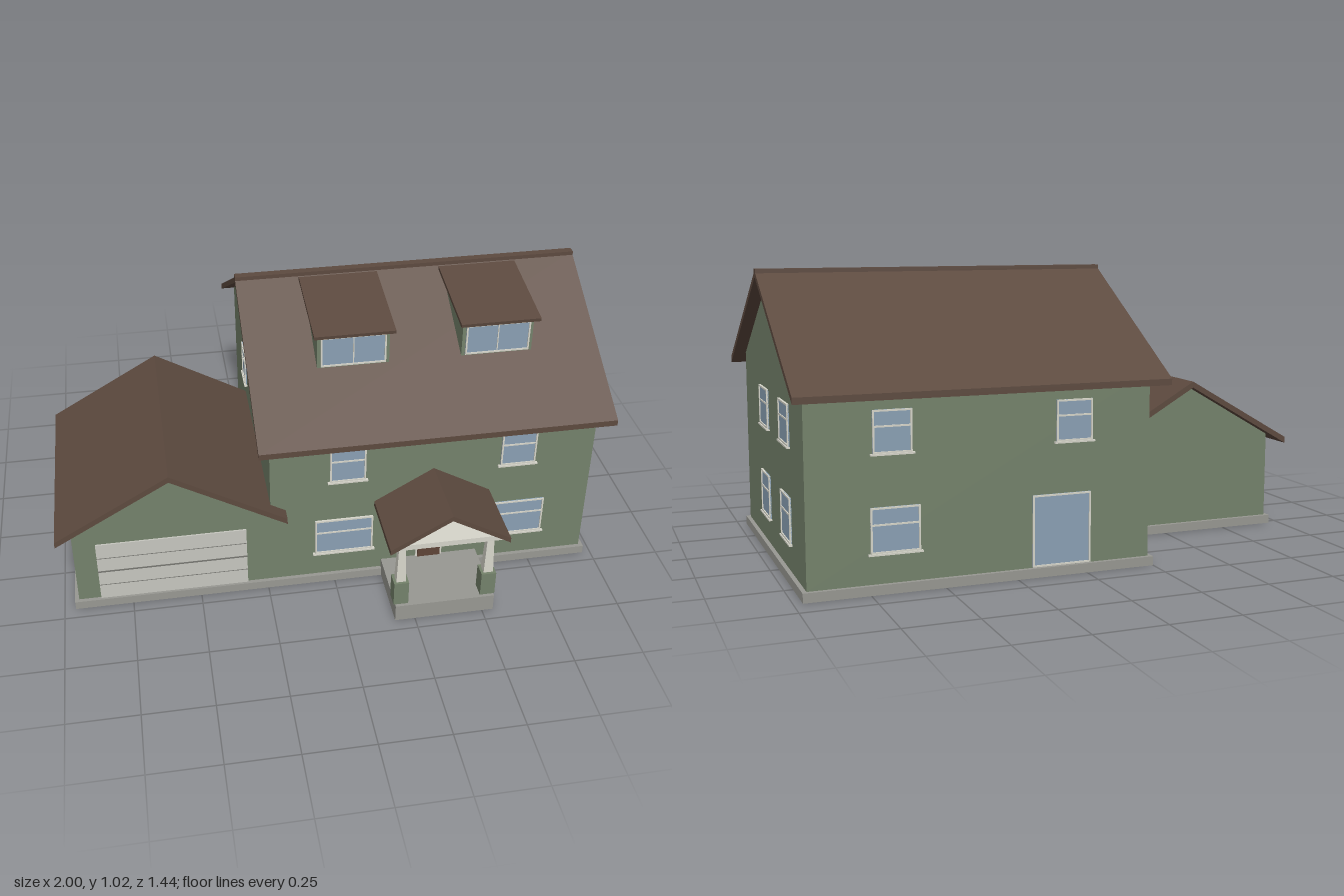
import * as THREE from 'three';

const mat = (name, color) => {
  const m = new THREE.MeshStandardMaterial({ color });
  m.name = name;
  return m;
};

export function createModel() {
  const siding = mat('siding green', 0x74826b);
  const roofing = mat('roof brown', 0x5d4a3f);
  const concrete = mat('concrete grey', 0x989892);
  const trim = mat('trim cream', 0xd6d5ca);
  const panel = mat('garage door white', 0xc6c6bf);
  const glass = mat('window glass', 0x8aa0b4);
  const doorBrown = mat('door brown', 0x5e4438);
  const seam = mat('seam grey', 0x777772);

  const house = new THREE.Group();
  house.name = 'house';
  const SLOPE = Math.tan(Math.PI / 6);

  const add = (name, geo, material, parent = house) => {
    const mesh = new THREE.Mesh(geo, material);
    mesh.name = name;
    parent.add(mesh);
    return mesh;
  };
  // Box given by its low and high limits on each axis
  const box = (name, material, x0, x1, y0, y1, z0, z1, parent = house) => {
    const mesh = add(name, new THREE.BoxGeometry(x1 - x0, y1 - y0, z1 - z0), material, parent);
    mesh.position.set((x0 + x1) / 2, (y0 + y1) / 2, (z0 + z1) / 2);
    return mesh;
  };
  // Prism of a 2D outline, extruded along z from 0 to length
  const prism = (name, points, length, material) => add(name, new THREE.ExtrudeGeometry(
    new THREE.Shape(points.map(([x, y]) => new THREE.Vector2(x, y))),
    { depth: length, bevelEnabled: false }), material);
  const gableRoof = (name, w, peak, t, length) => {
    const eave = peak - w * SLOPE;
    return prism(name, [[-w, eave - t], [0, peak - t], [w, eave - t], [w, eave], [0, peak], [-w, eave]], length, roofing);
  };
  const gableWalls = (name, w, base, apex, length) => {
    const top = apex - w * SLOPE;
    return prism(name, [[-w, base], [w, base], [w, top], [0, apex], [-w, top]], length, siding);
  };

  // Foundations
  box('houseFoundation', concrete, -0.25, 0.97, 0, 0.032, -0.66, 0.455);
  box('garageFoundation', concrete, -0.96, -0.25, 0, 0.032, -0.275, 0.455);

  // Main house, ridge along x
  const walls = gableWalls('houseWalls', 0.5425, 0.032, 0.993, 1.19);
  walls.rotation.y = Math.PI / 2;
  walls.position.set(-0.235, 0, -0.1025);
  const roof = gableRoof('houseRoof', 0.6175, 1.014, 0.022, 1.28);
  roof.rotation.y = Math.PI / 2;
  roof.position.set(-0.28, 0, -0.1025);
  box('ridgeCap', roofing, -0.28, 1.0, 0.995, 1.02, -0.118, -0.088);

  // Garage, ridge along z
  gableWalls('garageWalls', 0.355, 0.032, 0.562, 0.7).position.set(-0.59, 0, -0.26);
  gableRoof('garageRoof', 0.41, 0.584, 0.023, 0.8).position.set(-0.59, 0, -0.31);
  box('garageDoor', panel, -0.865, -0.325, 0.032, 0.28, 0.44, 0.446);
  [[0.095, 0.001], [0.157, 0.003], [0.218, 0.001]].forEach(([y, h]) =>
    box('garageDoorSeam', seam, -0.865, -0.325, y - h, y + h, 0.446, 0.4475));

  // Window facing +z, centred on its own origin
  const makeWindow = (name, w, h, x, y, z, turn, { rail = true, mullion = false, sill = true } = {}) => {
    const g = new THREE.Group();
    g.name = name;
    const a = w / 2, b = h / 2, f = 0.006, d = 0.008;
    box('pane', glass, -a, a, -b, b, 0, 0.004, g);
    [-1, 1].forEach((s) => {
      const u = s * (a - f / 2), v = s * (b - f / 2);
      box('frameSide', trim, u - f / 2, u + f / 2, -b, b, 0, d, g);
      box('frameBar', trim, -a + f, a - f, v - f / 2, v + f / 2, 0, d, g);
    });
    if (rail) box('rail', trim, -a + f, a - f, b * 0.24 - 0.003, b * 0.24 + 0.003, 0, 0.007, g);
    if (mullion) box('mullion', trim, -0.002, 0.002, -b + f, b - f, 0, 0.007, g);
    if (sill) box('sill', trim, -a - 0.008, a + 0.008, -b - 0.006, -b, 0, 0.012, g);
    g.position.set(x, y, z);
    g.rotation.y = turn;
    house.add(g);
  };
  const UP = 0.526, LOW = 0.208;

  // Front windows
  [0.045, 0.672].forEach((x) => makeWindow('frontUpperWindow', 0.13, 0.14, x, UP, 0.44, 0));
  [0.034, 0.682].forEach((x) => makeWindow('frontLowerWindow', 0.215, 0.15, x, LOW, 0.44, 0));
  // Side windows
  [0.033, -0.345].forEach((z) => {
    makeWindow('sideUpperWindow', 0.16, 0.14, 0.955, UP, z, Math.PI / 2);
    makeWindow('sideLowerWindow', 0.16, 0.155, 0.955, LOW, z, Math.PI / 2);
  });
  makeWindow('garageSideWindow', 0.1, 0.14, -0.235, UP, -0.29, -Math.PI / 2);
  // Back windows and patio door
  [0.045, 0.672].forEach((x) => makeWindow('backUpperWindow', 0.13, 0.14, x, UP, -0.645, Math.PI));
  makeWindow('backLowerWindow', 0.165, 0.15, 0.665, LOW, -0.645, Math.PI);
  makeWindow('patioDoor', 0.21, 0.245, 0.09, 0.157, -0.645, Math.PI, { rail: false, sill: false });

  // Dormers
  [0.096, 0.62].forEach((x) => {
    box('dormerWalls', siding, x - 0.13, x + 0.13, 0.8, 0.947, -0.03, 0.245);
    const lid = add('dormerRoof', new THREE.BoxGeometry(0.29, 0.013, 0.349), roofing);
    lid.position.set(x, 0.979, 0.1025);
    lid.rotation.x = 0.152;
    makeWindow('dormerWindow', 0.235, 0.118, x, 0.879, 0.245, 0, { rail: false, mullion: true, sill: false });
  });

  // Front door
  box('doorFrame', trim, 0.308, 0.408, 0.066, 0.282, 0.44, 0.446);
  box('frontDoor', doorBrown, 0.315, 0.401, 0.066, 0.275, 0.44, 0.449);
  box('doorPane', glass, 0.326, 0.39, 0.185, 0.258, 0.449, 0.451);

  // Porch
  box('porchSlab', concrete, 0.177, 0.541, 0, 0.066, 0.44, 0.702);
  [0.198, 0.518].forEach((x) => {
    box('pedestal', siding, x - 0.027, x + 0.027, 0.066, 0.162, 0.635, 0.69);
    const column = add('column', new THREE.CylinderGeometry(0.0165, 0.025, 0.168, 4), trim);
    column.geometry.rotateY(Math.PI / 4);
    column.geometry = column.geometry.toNonIndexed();
    column.geometry.computeVertexNormals();
    column.position.set(x, 0.246, 0.6625);
  });
  box('porchCeiling', trim, 0.168, 0.552, 0.329, 0.35, 0.44, 0.705);
  gableRoof('porchRoof', 0.215, 0.47, 0.02, 0.28).position.set(0.36, 0, 0.44);

  return house;
}
